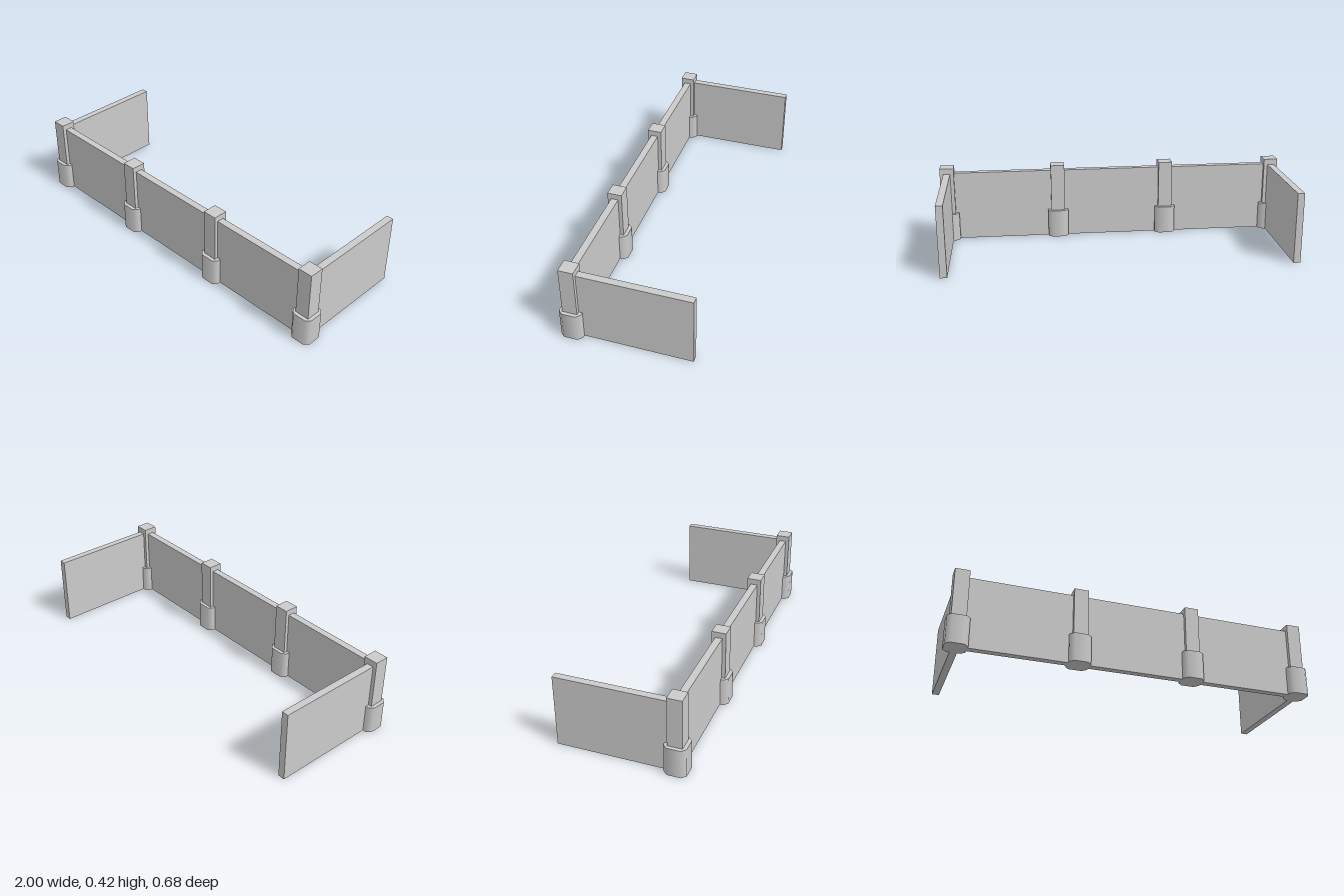
import * as THREE from 'three';

const POST_X = [-0.942, -0.314, 0.314, 0.942];
const FRONT_Z = 0.284;
const WALL_H = 0.392, WALL_T = 0.038;
const POST_H = 0.424, POST_W = 0.078;
const BASE_H = 0.157, BASE_HALF = 0.058, BASE_CUT = 0.022;

// Eight-sided prism reshaped into a square with cut corners
function chamferedPrism(half, cut, height) {
  const geo = new THREE.CylinderGeometry(1, 1, height, 8, 1, false, Math.PI / 8);
  const p = geo.attributes.position;
  const snap = v => Math.abs(v) < 0.01 ? 0 : Math.sign(v) * (Math.abs(v) > 0.6 ? half : half - cut);
  for (let i = 0; i < p.count; i++) p.setXYZ(i, snap(p.getX(i)), p.getY(i), snap(p.getZ(i)));
  return geo;
}

export function createModel() {
  const model = new THREE.Group();
  model.name = 'lowWallWithPosts';
  const mat = new THREE.MeshStandardMaterial({ color: 0xcccccc });

  // Every part stands on the ground
  const add = (name, geo, x, height, z, parent = model) => {
    const mesh = new THREE.Mesh(geo, mat);
    mesh.name = name;
    mesh.position.set(x, height / 2, z);
    parent.add(mesh);
  };

  // Front wall panels between the posts
  for (let i = 0; i < POST_X.length - 1; i++) {
    const width = POST_X[i + 1] - POST_X[i];
    add('frontPanel', new THREE.BoxGeometry(width, WALL_H, WALL_T), POST_X[i] + width / 2, WALL_H, FRONT_Z);
  }

  // Side walls running back from the corner posts
  const backZ = -0.342, depth = FRONT_Z - backZ;
  for (const side of [-1, 1]) {
    add(side > 0 ? 'leftPanel' : 'rightPanel', new THREE.BoxGeometry(WALL_T, WALL_H, depth),
      side * POST_X[3], WALL_H, backZ + depth / 2);
  }

  // Posts with their chamfered bases
  const postGeo = new THREE.BoxGeometry(POST_W, POST_H, POST_W);
  const baseGeo = chamferedPrism(BASE_HALF, BASE_CUT, BASE_H);
  for (const x of POST_X) {
    const post = new THREE.Group();
    post.name = 'post';
    post.position.set(x, 0, FRONT_Z);
    add('postShaft', postGeo, 0, POST_H, 0, post);
    add('postBase', baseGeo, 0, BASE_H, 0, post);
    model.add(post);
  }
  return model;
}
